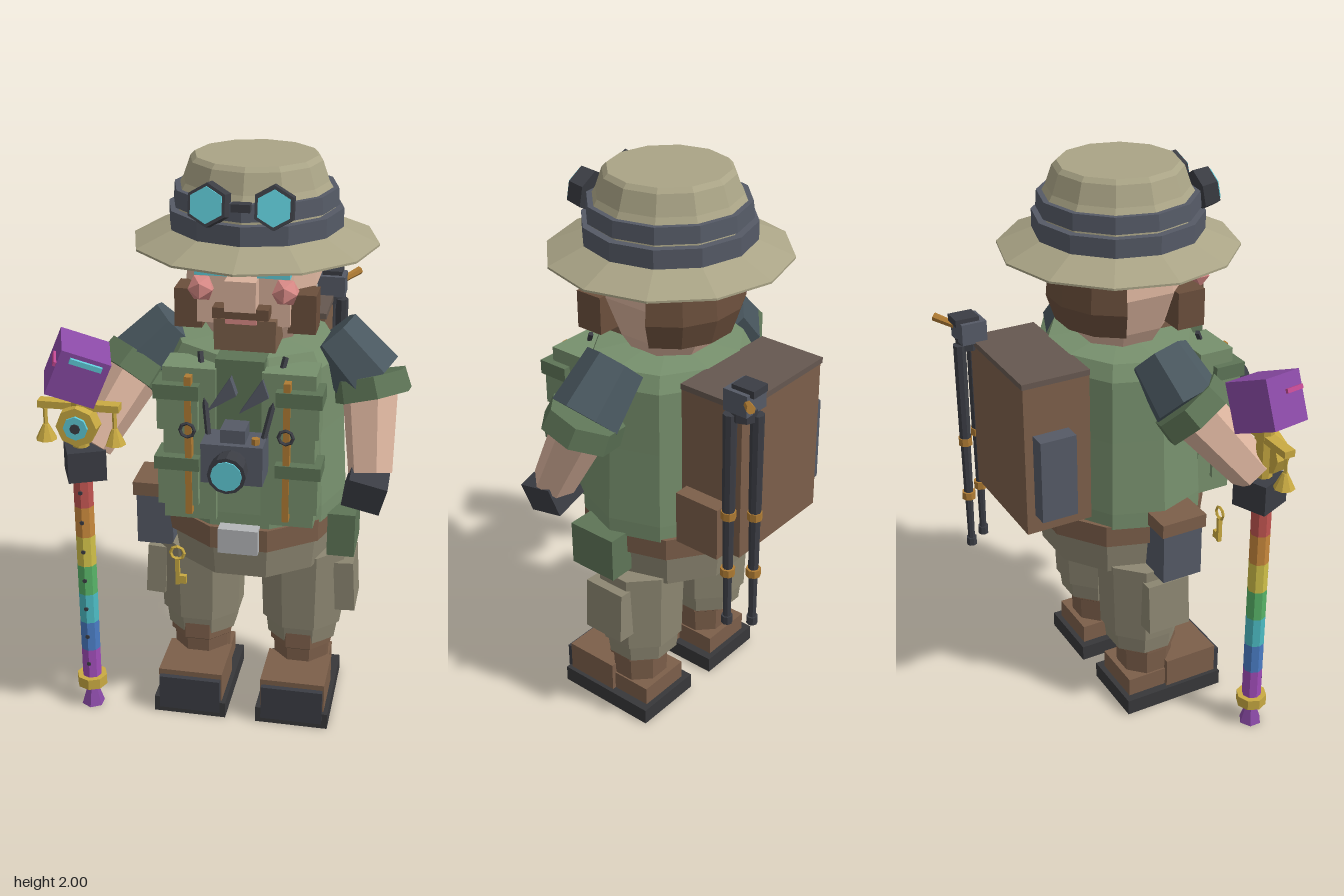
import * as THREE from 'three';

const V = (x, y, z) => new THREE.Vector3(x, y, z);
const COL = {
  vest: 0x77906d, vestDark: 0x5e7557, trousers: 0x8d8772, hat: 0xaaa486, slate: 0x4a5860, brown: 0x7c5f4a,
  hair: 0x6b4f3c, skin: 0xd9b29c, dark: 0x3b3d44, band: 0x555a66, gold: 0xc9aa42, lens: 0x5fcbd8,
  purple: 0x8a4aa6, pink: 0xd98a86, silver: 0xb4b6b8, copper: 0xb07c34, sole: 0x38383a,
};
const mats = {};
const mat = (c) => mats[c] ??= new THREE.MeshStandardMaterial({ color: COL[c] ?? c, flatShading: true });
const CX = 0.08; // body centre line

export function createModel() {
  const root = new THREE.Group();
  root.name = 'explorer';

  const add = (name, geo, c, parent = root) => {
    const m = new THREE.Mesh(geo, mat(c));
    m.name = name;
    parent.add(m);
    return m;
  };
  // Box from its min and max corners
  const box = (name, c, x0, x1, y0, y1, z0, z1, parent = root) => {
    const m = add(name, new THREE.BoxGeometry(x1 - x0, y1 - y0, z1 - z0), c, parent);
    m.position.set((x0 + x1) / 2, (y0 + y1) / 2, (z0 + z1) / 2);
    return m;
  };
  // Faceted tapered prism between two points
  const prism = (name, c, a, b, ra, rb, sides = 8, parent = root) => {
    const m = add(name, new THREE.CylinderGeometry(rb, ra, a.distanceTo(b), sides), c, parent);
    m.position.copy(a).add(b).multiplyScalar(0.5);
    m.quaternion.setFromUnitVectors(V(0, 1, 0), b.clone().sub(a).normalize());
    return m;
  };
  // Turned shape, optionally squashed in depth
  const turned = (name, c, pts, sides, x = CX, z = 0.02, sz = 1, turn = 0, arc = Math.PI * 2) => {
    const g = new THREE.LatheGeometry(pts.map((p) => new THREE.Vector2(...p)), sides, turn, arc);
    g.scale(1, 1, sz);
    const m = add(name, g, c);
    m.position.set(x, 0, z);
    return m;
  };

  // Hat
  turned('hatBrim', 'hat', [[0, 1.74], [0.26, 1.74], [0.406, 1.715], [0.406, 1.722], [0.27, 1.78], [0, 1.78]], 12);
  turned('hatCrown', 'hat', [[0.27, 1.77], [0.25, 1.9], [0.238, 1.92], [0.215, 1.985], [0.2, 2.0], [0, 2.0]], 12);
  turned('hatBand', 'band', [[0.26, 1.77], [0.287, 1.77], [0.287, 1.835], [0.26, 1.835]], 12);
  turned('goggleStrap', 'band', [[0.24, 1.845], [0.272, 1.845], [0.268, 1.9], [0.24, 1.9]], 12);
  for (const s of [-1, 1]) {
    const g = new THREE.Group();
    g.name = 'goggle';
    g.position.set(CX + s * 0.102, 1.895, 0.285);
    g.rotation.set(-0.2, s * 0.1, 0);
    root.add(g);
    prism('goggleRim', 'dark', V(0, 0, -0.03), V(0, 0, 0.025), 0.072, 0.068, 6, g);
    prism('goggleLens', 'lens', V(0, 0, 0), V(0, 0, 0.032), 0.057, 0.057, 6, g);
  }
  box('goggleBridge', 'dark', 0.05, 0.11, 1.88, 1.905, 0.27, 0.305);

  // Head and face
  turned('head', 'skin', [[0, 1.37], [0.13, 1.38], [0.18, 1.46], [0.232, 1.6], [0.215, 1.74], [0, 1.74]], 8, CX, 0.02, 1, Math.PI / 8);
  box('face', 'skin', -0.07, 0.23, 1.5, 1.73, 0.1, 0.245);
  box('nose', 'skin', 0.03, 0.13, 1.56, 1.66, 0.23, 0.305);
  turned('backHair', 'hair', [[0.15, 1.47], [0.22, 1.47], [0.25, 1.56], [0.235, 1.72]], 5, CX, 0.02, 1, Math.PI * 0.62, Math.PI * 0.76);
  box('moustache', 'hair', -0.01, 0.17, 1.535, 1.57, 0.2, 0.3);
  box('mouth', 'pink', 0.03, 0.13, 1.515, 1.535, 0.2, 0.29);
  box('beard', 'brown', -0.01, 0.19, 1.42, 1.525, 0.12, 0.275);
  for (const s of [-1, 1]) {
    const x = CX + s * 0.185;
    box('sideburn', 'hair', x - 0.045, x + 0.045, 1.47, 1.6, 0.12, 0.22);
    add('cheek', new THREE.IcosahedronGeometry(0.047, 0), 'pink').position.set(CX + s * 0.135, 1.615, 0.245);
    const e = CX + s * 0.1;
    box('eyeLens', 'lens', e - 0.052, e + 0.052, 1.665, 1.715, 0.23, 0.272);
    box('eyeFrame', 'dark', e - 0.075 + s * 0.02, e + 0.075 + s * 0.02, 1.69, 1.705, 0.2, 0.278);
    box('eyeTemple', 'dark', CX + s * 0.2 - 0.008, CX + s * 0.2 + 0.008, 1.69, 1.705, 0.04, 0.26);
  }

  // Torso, belt and hips
  turned('vest', 'vest', [[0, 0.79], [0.325, 0.79], [0.325, 0.85], [0.31, 1.12], [0.3, 1.34], [0.27, 1.395], [0.12, 1.41], [0, 1.41]], 10, CX, 0.025, 0.9, Math.PI / 10);
  turned('belt', 'brown', [[0, 0.72], [0.315, 0.72], [0.315, 0.8], [0, 0.8]], 10, CX, 0.02, 1, Math.PI / 10);
  turned('hips', 'trousers', [[0, 0.6], [0.285, 0.6], [0.3, 0.73], [0, 0.73]], 10, CX, 0.015, 0.98, Math.PI / 10);
  box('buckle', 'silver', 0.015, 0.15, 0.72, 0.81, 0.28, 0.35);
  box('shirt', 'vestDark', 0.0, 0.16, 1.12, 1.4, 0.2, 0.308);
  for (const s of [-1, 1]) {
    // Vest fronts with pockets, zips, rings and collar
    const b = (n, c, o0, o1, ...r) => box(n, c, ...[CX + s * o0, CX + s * o1].sort((p, q) => p - q), ...r);
    b('vestFront', 'vest', 0.075, 0.25, 0.83, 1.37, 0.2, 0.325);
    b('chestPocket', 'vest', 0.13, 0.265, 1.16, 1.29, 0.25, 0.35);
    b('chestFlap', 'vestDark', 0.125, 0.275, 1.27, 1.32, 0.25, 0.36);
    b('lowerPocket', 'vest', 0.13, 0.265, 0.89, 1.03, 0.25, 0.35);
    b('lowerFlap', 'vestDark', 0.125, 0.275, 1.02, 1.065, 0.25, 0.36);
    b('zip', 'copper', 0.15, 0.172, 0.86, 1.35, 0.3, 0.356);
    add('ring', new THREE.TorusGeometry(0.024, 0.006, 4, 8), 'dark').position.set(CX + s * 0.161, 1.17, 0.366);
    const lapel = new THREE.Shape([[0.005, 1.23], [0.08, 1.35], [0.1, 1.29]].map(([x, y]) => new THREE.Vector2(x, y)));
    const l = add('collar', new THREE.ExtrudeGeometry(lapel, { depth: 0.05, bevelEnabled: false }), 'band');
    l.position.set(s > 0 ? CX : CX - 0.105, 0, 0.29);
    prism('cameraStrap', 'dark', V(CX + s * 0.09, 1.16, 0.37), V(CX + s * 0.14, 1.4, 0.25), 0.01, 0.01, 4);
  }

  // Camera
  box('cameraBody', 'band', -0.02, 0.18, 1.03, 1.165, 0.33, 0.45);
  box('cameraHump', 'band', 0.04, 0.12, 1.16, 1.21, 0.345, 0.43);
  prism('cameraBarrel', 'dark', V(CX, 1.1, 0.44), V(CX, 1.1, 0.49), 0.052, 0.052, 12);
  prism('cameraHood', 'dark', V(CX, 1.1, 0.48), V(CX, 1.1, 0.535), 0.06, 0.062, 12);
  prism('cameraLens', 'lens', V(CX, 1.1, 0.5), V(CX, 1.1, 0.54), 0.05, 0.05, 12);
  prism('shutterButton', 'copper', V(0.153, 1.16, 0.42), V(0.153, 1.185, 0.42), 0.014, 0.014, 6);

  // Belt gear
  box('holster', 'band', -0.32, -0.19, 0.61, 0.81, -0.02, 0.13);
  box('holsterFlap', 'brown', -0.33, -0.185, 0.8, 0.85, -0.03, 0.14);
  box('hipPouch', 'vestDark', 0.36, 0.455, 0.64, 0.8, -0.03, 0.155);
  add('keyRing', new THREE.TorusGeometry(0.024, 0.006, 4, 8), 'gold').position.set(-0.13, 0.69, 0.325);
  box('keyShaft', 'gold', -0.137, -0.123, 0.57, 0.67, 0.317, 0.333);
  box('keyBit', 'gold', -0.123, -0.1, 0.575, 0.605, 0.317, 0.333);

  // Legs and boots
  for (const s of [-1, 1]) {
    const x = CX + s * 0.185, t = Math.PI / 8;
    turned('leg', 'trousers', [[0, 0.25], [0.13, 0.25], [0.138, 0.32], [0.15, 0.32], [0.162, 0.62], [0, 0.62]], 8, x, 0.01, 0.98, t);
    turned('bootShaft', 'brown', [[0.1, 0.08], [0.105, 0.22], [0.118, 0.23], [0.115, 0.3], [0, 0.3]], 8, x, 0.025, 1, t);
    box('bootFoot', 'brown', x - 0.115, x + 0.115, 0.05, 0.17, 0.06, 0.265);
    box('bootHeel', 'brown', x - 0.1, x + 0.1, 0.05, 0.13, -0.09, 0.08);
    box('sole', 'sole', x - 0.13, x + 0.13, 0, 0.06, -0.11, 0.28);
    box('toeCap', 'dark', x - 0.11, x + 0.11, 0.02, 0.15, 0.2, 0.285);
    const p = box('thighPocket', 'trousers', -0.035, 0.035, -0.095, 0.095, -0.08, 0.08);
    p.position.set(x + s * 0.155, 0.485, 0.02);
    p.rotation.z = s * 0.06;
  }

  // Arms: shoulder, sleeve end, cuff bottom, wrist, hand
  const arm = (name, sh, el, cuff, wr, hand) => {
    const g = new THREE.Group();
    g.name = name;
    root.add(g);
    prism('sleeve', 'slate', sh, el, 0.105, 0.122, 7, g);
    prism('cuff', 'vestDark', el.clone().lerp(cuff, -0.25), cuff, 0.13, 0.138, 7, g);
    prism('forearm', 'skin', el, wr, 0.098, 0.075, 6, g);
    const glove = box('glove', 'dark', -0.065, 0.065, -0.055, 0.055, -0.065, 0.065, g);
    glove.position.copy(hand);
    return glove;
  };
  arm('leftArm', V(0.34, 1.41, 0.03), V(0.475, 1.265, 0.045), V(0.49, 1.21, 0.06), V(0.5, 0.98, 0.18), V(0.49, 0.94, 0.2)).rotation.set(0.2, 0, -0.25);
  arm('rightArm', V(-0.18, 1.41, 0.03), V(-0.305, 1.28, 0.07), V(-0.335, 1.235, 0.1), V(-0.44, 1.04, 0.25), V(-0.46, 0.985, 0.265)).rotation.y = 0.4;

  // Rainbow staff
  const staff = new THREE.Group();
  staff.name = 'staff';
  staff.position.set(-0.47, 0, 0.27);
  root.add(staff);
  [0xa04cb8, 0x4a7cc4, 0x4cbcc4, 0x58b468, 0xd0c048, 0xc8883c, 0xc05450].forEach((c, i) => {
    const y = 0.125 + i * 0.115;
    prism('staffSegment', c, V(0, y, 0), V(0, y + 0.115, 0), 0.035, 0.035, 8, staff);
    prism('staffStud', 'dark', V(0, y + 0.06, 0.03), V(0, y + 0.06, 0.038), 0.008, 0.008, 6, staff);
  });
  prism('staffTop', 'gold', V(0, 0.9, 0), V(0, 1.25, 0), 0.03, 0.03, 8, staff);
  prism('ferrule', 'gold', V(0, 0.085, 0), V(0, 0.125, 0), 0.055, 0.055, 8, staff);
  prism('staffTip', 'purple', V(0, 0, 0), V(0, 0.09, 0), 0.042, 0.014, 6, staff);
  box('scaleBeam', 'gold', -0.14, 0.14, 1.175, 1.2, -0.02, 0.02, staff);
  prism('eyeRim', 'gold', V(0, 1.125, 0), V(0, 1.125, 0.05), 0.075, 0.07, 8, staff);
  prism('eyeIris', 'lens', V(0, 1.125, 0.02), V(0, 1.125, 0.06), 0.042, 0.042, 8, staff);
  prism('eyePupil', 'dark', V(0, 1.125, 0.04), V(0, 1.125, 0.064), 0.018, 0.018, 8, staff);
  for (const s of [-1, 1]) {
    prism('scaleHanger', 'gold', V(s * 0.12, 1.1, 0), V(s * 0.12, 1.19, 0), 0.008, 0.008, 4, staff);
    prism('scalePan', 'gold', V(s * 0.12, 1.055, 0), V(s * 0.12, 1.11, 0), 0.037, 0.01, 8, staff);
  }
  const cube = new THREE.Group();
  cube.name = 'cubeHead';
  cube.position.set(-0.002, 1.318, -0.005);
  cube.rotation.set(0.12, 0.3, -0.42);
  staff.add(cube);
  box('cube', 'purple', -0.085, 0.085, -0.085, 0.085, -0.085, 0.085, cube);
  box('cubeStripe', 'lens', -0.05, 0.06, 0.052, 0.07, 0.08, 0.096, cube);
  box('cubeMark', 0xc04890, -0.094, -0.08, 0.02, 0.035, 0.0, 0.08, cube);

  // Backpack
  box('backpack', 'brown', -0.13, 0.29, 0.83, 1.39, -0.44, -0.2);
  box('packLid', 0x665850, -0.135, 0.295, 1.375, 1.395, -0.445, -0.2);
  box('packSidePocket', 'band', -0.19, -0.13, 0.9, 1.2, -0.41, -0.28);
  box('packSidePouch', 'brown', 0.29, 0.345, 0.83, 1.02, -0.39, -0.22);

  // Tripod
  for (const [x, z] of [[0.275, -0.487], [0.325, -0.42]]) {
    prism('tripodUpper', 'dark', V(x, 1.0, z), V(x, 1.38, z), 0.021, 0.023, 8);
    prism('tripodMiddle', 'dark', V(x, 0.78, z), V(x, 1.02, z), 0.017, 0.019, 8);
    prism('tripodLower', 'dark', V(x, 0.6, z), V(x, 0.8, z), 0.013, 0.015, 8);
    prism('tripodFoot', 'dark', V(x, 0.58, z), V(x, 0.61, z), 0.019, 0.019, 8);
    for (const y of [0.79, 1.01]) prism('tripodClamp', 'copper', V(x, y - 0.014, z), V(x, y + 0.014, z), 0.025, 0.025, 8);
  }
  prism('tripodCollar', 'dark', V(0.29, 1.36, -0.45), V(0.29, 1.4, -0.45), 0.045, 0.045, 8);
  box('tripodHead', 'band', 0.235, 0.335, 1.39, 1.465, -0.49, -0.4);
  box('tripodPlate', 'dark', 0.25, 0.32, 1.455, 1.48, -0.505, -0.42);
  prism('tripodHandle', 'copper', V(0.3, 1.425, -0.46), V(0.375, 1.455, -0.535), 0.012, 0.015, 6);

  return root;
}
